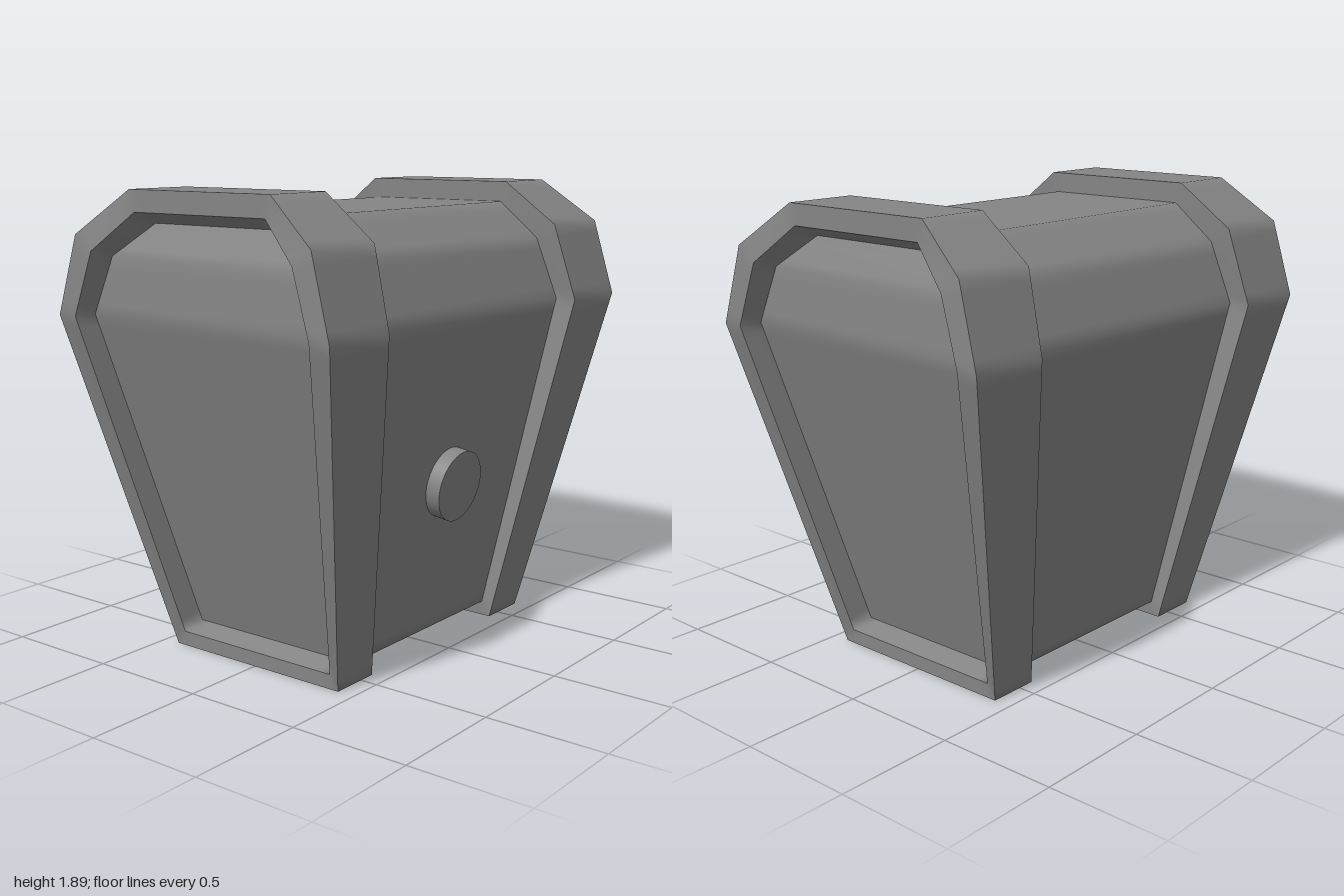
import * as THREE from 'three';
import { mergeGeometries } from 'three/addons/utils/BufferGeometryUtils.js';

// Half cross-sections [z, y], bottom to top; mirrored in z to close the loop
const RIM = [[0.425, 0], [0.675, 1.4], [0.585, 1.715], [0.35, 1.89]];
const CORE = [[0.385, 0.06], [0.585, 1.4], [0.5, 1.655], [0.325, 1.805]];
const PANEL = [[0.38, 0.085], [0.58, 1.4], [0.49, 1.63], [0.31, 1.76]];

// x of each of those corners on the outer face, inner face and sunken panel
const OUTER = [0.645, 1, 0.985, 0.92];
const INNER = [0.43, 0.663, 0.632, 0.615];
const SUNKEN = [0.548, 0.902, 0.885, 0.825];

// Closed loop with support points beside each corner, so shading turns softly there only
function loop(half, xs, support = 0.05) {
  const up = half.map(([z, y], i) => new THREE.Vector3(xs[i], y, z));
  const down = up.map((p) => new THREE.Vector3(p.x, p.y, -p.z)).reverse();
  const corners = [...up, ...down];
  const n = corners.length;
  return corners.flatMap((c, i) => {
    const toward = (o) => c.clone().add(o.clone().sub(c).setLength(support));
    return [toward(corners[(i + n - 1) % n]), c, toward(corners[(i + 1) % n])];
  });
}

// Smooth strip of quads between two equally long rows of points
function strip(a, b, closed = true) {
  const n = a.length, index = [];
  for (let i = 0; i < (closed ? n : n - 1); i++) {
    const j = (i + 1) % n;
    index.push(i, j, n + j, i, n + j, n + i);
  }
  const geometry = new THREE.BufferGeometry().setFromPoints([...a, ...b]);
  geometry.setIndex(index);
  geometry.computeVertexNormals();
  return geometry;
}

export function createModel() {
  const model = new THREE.Group();
  const material = new THREE.MeshStandardMaterial({ color: 0x858585 });
  const add = (name, geometry) => {
    const mesh = new THREE.Mesh(geometry, material);
    mesh.name = name;
    model.add(mesh);
    return mesh;
  };

  // Body between the two bands
  const bodyEnd = loop(CORE, INNER);
  add('body', strip(bodyEnd, loop(CORE, INNER.map((x) => -x))));

  // End band: outside, rim, recess wall and inner shoulder
  const rim = loop(RIM, OUTER);
  const rimInner = loop(RIM, INNER);
  const lip = loop(CORE, OUTER);
  const recess = loop(PANEL, SUNKEN);
  const band = mergeGeometries([
    strip(rim, rimInner),
    strip(lip, rim),
    strip(recess, lip),
    strip(rimInner, bodyEnd),
  ]);

  // Sunken end panel, built as rows across the recess
  const half = recess.length / 2;
  const panel = strip(recess.slice(half).reverse(), recess.slice(0, half), false);

  for (const [side, turn] of [['left', 0], ['right', Math.PI]]) {
    add(side + 'Band', band).rotation.y = turn;
    add(side + 'Panel', panel).rotation.y = turn;
  }

  // Round button, square to the sloping front
  const tilt = Math.atan2(CORE[1][0] - CORE[0][0], CORE[1][1] - CORE[0][1]);
  const button = add('button', new THREE.CylinderGeometry(0.148, 0.148, 0.09, 48));
  button.rotation.x = Math.PI / 2 + tilt;
  button.position.set(0, 0.704, 0.5);

  return model;
}
